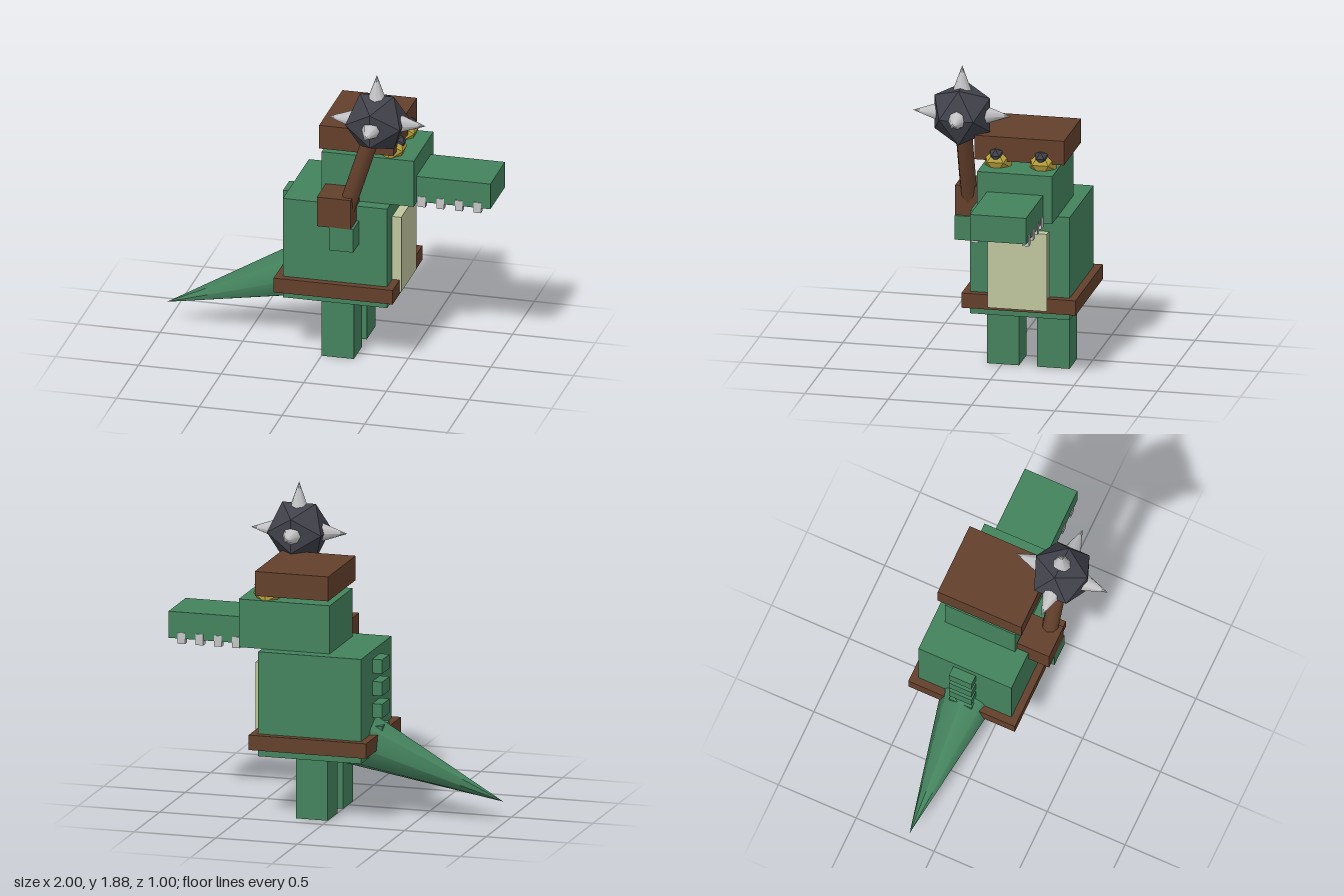
import * as THREE from 'three';

export function createModel() {
  const model = new THREE.Group();
  model.name = 'crocodileWarrior';

  const material = (name, color, flatShading = false) => {
    const m = new THREE.MeshStandardMaterial({ color, flatShading });
    m.name = name;
    return m;
  };
  const green = material('green skin', 0x44825d);
  const brown = material('brown leather', 0x64402c);
  const cream = material('cream belly', 0xbfc59c);
  const yellow = material('yellow eye', 0xb9a23c, true);
  const iron = material('dark iron', 0x40414a, true);
  const silver = material('silver spike', 0xc4c4c6);

  const add = (name, geometry, mat, x, y, z, parent = model) => {
    const mesh = new THREE.Mesh(geometry, mat);
    mesh.name = name;
    mesh.position.set(x, y, z);
    parent.add(mesh);
    return mesh;
  };
  // Box given by its lower and upper limits on each axis
  const box = (name, mat, [x0, x1], [y0, y1], [z0, z1]) =>
    add(name, new THREE.BoxGeometry(x1 - x0, y1 - y0, z1 - z0), mat,
      (x0 + x1) / 2, (y0 + y1) / 2, (z0 + z1) / 2);

  // Torso, belly plate and belt
  box('body', green, [-0.22, 0.41], [0.37, 1.0], [-0.455, 0.142]);
  box('belly', cream, [0.40, 0.465], [0.43, 0.905], [-0.33, 0.025]);
  box('belt', brown, [-0.265, 0.455], [0.415, 0.505], [-0.5, 0.185]);

  // Legs
  box('leftLeg', green, [0, 0.195], [0, 0.4], [-0.405, -0.21]);
  box('rightLeg', green, [0, 0.195], [0, 0.4], [-0.102, 0.09]);

  // Head, snout and hat
  box('head', green, [-0.005, 0.552], [1.0, 1.29], [-0.382, 0.068]);
  box('snout', green, [0.54, 1.0], [1.01, 1.17], [-0.327, 0.01]);
  box('hat', brown, [-0.01, 0.44], [1.328, 1.475], [-0.427, 0.11]);

  // Two rows of teeth along the snout
  for (let i = 0; i < 4; i++) {
    const x = 0.585 + i * 0.112;
    for (const z of [-0.31, -0.006]) {
      box('tooth', silver, [x - 0.023, x + 0.023], [0.98, 1.045], [z - 0.021, z + 0.021]);
    }
  }

  // Eyes with pupils
  for (const z of [-0.292, -0.022]) {
    add('eye', new THREE.IcosahedronGeometry(0.093), yellow, 0.396, 1.326, z);
    add('pupil', new THREE.IcosahedronGeometry(0.045), iron, 0.438, 1.366, z);
  }

  // Back ridges
  for (let i = 0; i < 4; i++) {
    const y = 0.907 - i * 0.134;
    box('backRidge', green, [-0.28, -0.21], [y - 0.042, y + 0.042], [-0.232, -0.087]);
  }

  // Tail: a cone with its tip near the ground
  const up = new THREE.Vector3(0, 1, 0);
  const tailDir = new THREE.Vector3(-Math.cos(0.35), -Math.sin(0.35), 0);
  const tailLength = 1.14;
  const tail = add('tail', new THREE.ConeGeometry(0.213, tailLength, 8), green,
    -1 - tailDir.x * tailLength / 2, 0.13 - tailDir.y * tailLength / 2, -0.157);
  tail.quaternion.setFromUnitVectors(up, tailDir);

  // Raised arm: sleeve and hand
  box('sleeve', brown, [0.02, 0.225], [0.905, 1.09], [0.07, 0.275]);
  box('hand', green, [0.095, 0.24], [0.76, 0.907], [0.13, 0.275]);

  // Mace: tilted handle, faceted ball and five spikes
  const mace = new THREE.Group();
  mace.name = 'mace';
  mace.position.set(0.364, 1.58, 0.2);
  model.add(mace);
  const handleDir = new THREE.Vector3(0.305, 0.952, 0).normalize();
  const handleLength = 0.8;
  const handle = add('handle', new THREE.CylinderGeometry(0.05, 0.05, handleLength, 8),
    brown, -handleDir.x * handleLength / 2, -handleDir.y * handleLength / 2, 0, mace);
  handle.quaternion.setFromUnitVectors(up, handleDir);
  add('maceBall', new THREE.IcosahedronGeometry(0.195), iron, 0, 0, 0, mace);
  for (const d of [[0, 1, 0], [1, 0, 0], [-1, 0, 0], [0, 0, 1], [0, 0, -1]]) {
    const dir = new THREE.Vector3(...d);
    const spike = add('maceSpike', new THREE.ConeGeometry(0.06, 0.165, 8), silver,
      d[0] * 0.2125, d[1] * 0.2125, d[2] * 0.2125, mace);
    spike.quaternion.setFromUnitVectors(up, dir);
  }

  return model;
}
